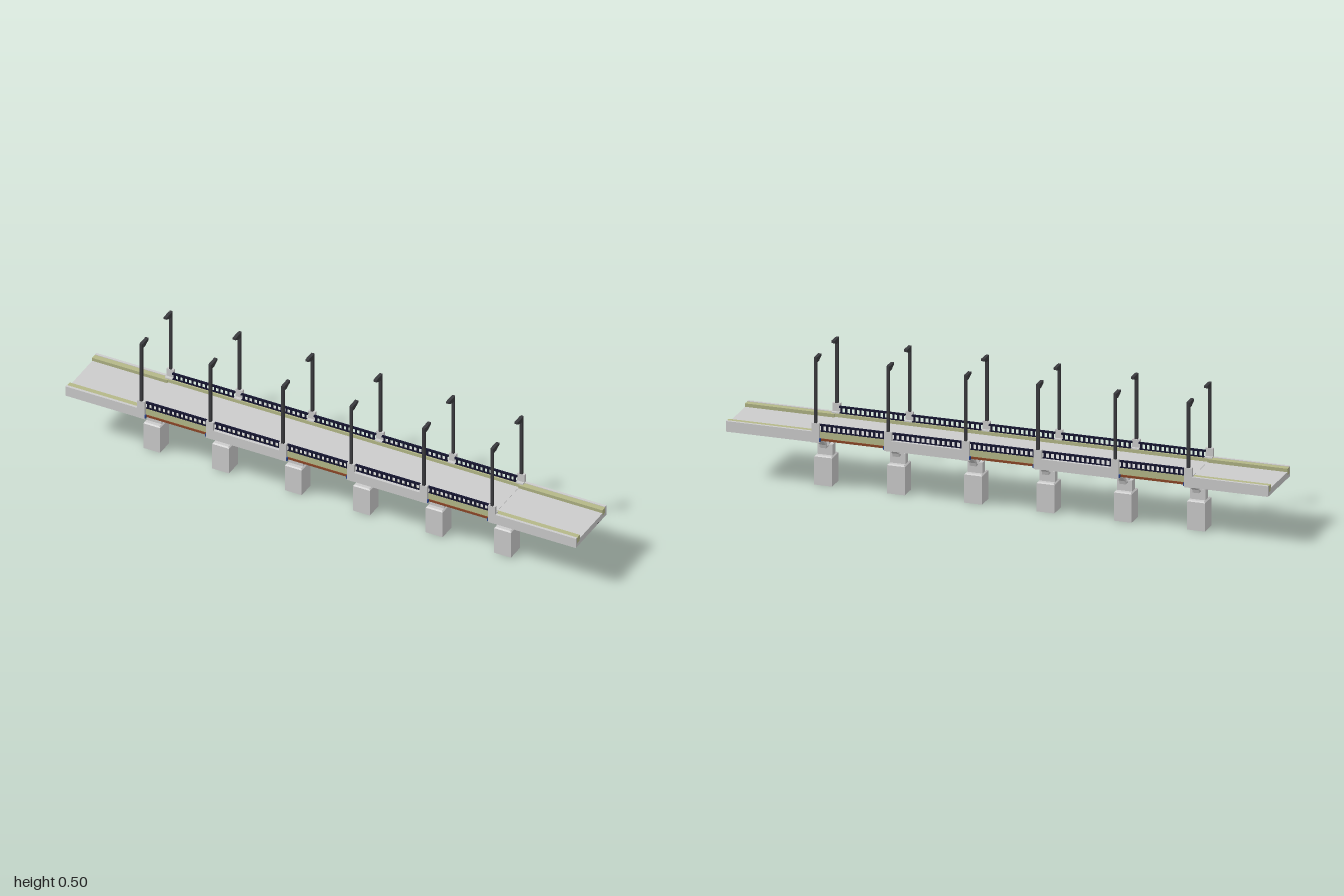
import * as THREE from 'three';

const mat = (color) => new THREE.MeshStandardMaterial({ color, flatShading: true });
const grey = mat(0xcccccc), dark = mat(0x3a3a3e), green = mat(0xb4b888);
const rust = mat(0x8a4526), navy = mat(0x14142e), blue = mat(0x2a4590);

// Box given by its limits on each axis
function box(parent, name, [x0, x1], [y0, y1], [z0, z1], material = grey) {
  const mesh = new THREE.Mesh(new THREE.BoxGeometry(x1 - x0, y1 - y0, Math.abs(z1 - z0)), material);
  mesh.position.set((x0 + x1) / 2, (y0 + y1) / 2, (z0 + z1) / 2);
  mesh.name = name;
  parent.add(mesh);
  return mesh;
}

// Plate from a (z, y) outline, extruded along x about xc; side flips z
function plate(parent, name, outline, xc, width, side, material = grey) {
  const shape = new THREE.Shape(outline.map(([z, y]) => new THREE.Vector2(-z * side, y)));
  const geo = new THREE.ExtrudeGeometry(shape, { depth: width, bevelEnabled: false });
  geo.rotateY(Math.PI / 2);
  geo.translate(xc - width / 2, 0, 0);
  const mesh = new THREE.Mesh(geo, material);
  mesh.name = name;
  parent.add(mesh);
}

const PIERS = [-0.705, -0.435, -0.15, 0.117, 0.402, 0.67];
const around = (x, half) => [x - half, x + half];

function addPier(root, x) {
  const pier = new THREE.Group();
  pier.name = 'pier';
  root.add(pier);
  box(pier, 'pierFooting', around(x, 0.033), [0, 0.104], [-0.033, 0.033]);
  // Sloping cap on the footing
  const cap = new THREE.CylinderGeometry(0.028 * Math.SQRT2, 0.033 * Math.SQRT2, 0.004, 4).rotateY(Math.PI / 4);
  const capMesh = new THREE.Mesh(cap, grey);
  capMesh.name = 'footingCap';
  capMesh.position.set(x, 0.106, 0);
  pier.add(capMesh);
  box(pier, 'pierColumn', around(x, 0.028), [0.105, 0.148], [-0.014, 0.014]);
  box(pier, 'pierNeck', around(x, 0.015), [0.148, 0.19], [-0.014, 0.014]);
  box(pier, 'crossBeam', around(x, 0.015), [0.185, 0.2], [-0.113, 0.113]);
  for (const s of [1, -1]) {
    // Curved diagonal brace with its foot against the column
    plate(pier, 'brace', [[0.012, 0.139], [0.034, 0.139], [0.038, 0.152], [0.085, 0.188],
      [0.066, 0.188], [0.03, 0.158], [0.026, 0.147], [0.012, 0.144]], x, 0.024, s);
  }
}

function addLamp(root, x, s) {
  const lamp = new THREE.Group();
  lamp.name = 'lamp';
  root.add(lamp);
  box(lamp, 'lampPedestal', around(x, 0.014), [0.187, 0.258], [s * 0.104, s * 0.115]);
  box(lamp, 'pedestalCurb', around(x, 0.014), [0.2, 0.228], [s * 0.092, s * 0.105]);
  box(lamp, 'pedestalClamp', around(x, 0.018), [0.19, 0.202], [s * 0.106, s * 0.1145], blue);
  box(lamp, 'lampPole', around(x, 0.005), [0.225, 0.5], [s * 0.105, s * 0.1148], dark);
  plate(lamp, 'lampHead', [[0.108, 0.5], [0.068, 0.5], [0.068, 0.492], [0.093, 0.481], [0.108, 0.481]],
    x, 0.012, s, dark);
}

function addRailing(root, x0, x1, s) {
  const rail = new THREE.Group();
  rail.name = 'railing';
  root.add(rail);
  box(rail, 'topRail', [x0, x1], [0.245, 0.251], [s * 0.095, s * 0.103], navy);
  box(rail, 'bottomRail', [x0, x1], [0.223, 0.227], [s * 0.096, s * 0.102], navy);
  const n = 14;
  for (let i = 0; i < n; i++) {
    const x = x0 + (x1 - x0) * (i + 0.5) / n;
    box(rail, 'baluster', around(x, 0.0035), [0.225, 0.247], [s * 0.097, s * 0.101], navy);
  }
}

function addSpan(root, i) {
  const span = new THREE.Group();
  span.name = 'span';
  root.add(span);
  const x0 = PIERS[i], x1 = PIERS[i + 1], X = [x0, x1];
  const walled = i % 2 === 1;
  // Longitudinal girders under the deck
  for (let k = -4; k <= 4; k++) {
    box(span, 'stringer', X, [0.188, 0.2], around(k * 0.021, 0.005));
  }
  for (const s of [1, -1]) {
    box(span, 'curb', X, [0.2, 0.224], [s * 0.09, s * 0.103], green);
    if (walled) {
      box(span, 'sideWall', X, [0.187, 0.225], [s * 0.103, s * 0.115]);
    } else {
      box(span, 'edgeGirder', X, [0.192, 0.2], [s * 0.096, s * 0.106], rust);
    }
    addRailing(span, x0 + 0.012, x1 - 0.012, s);
  }
}

function addApproach(root, x0, x1) {
  const approach = new THREE.Group();
  approach.name = 'approach';
  root.add(approach);
  const X = [x0, x1];
  box(approach, 'approachSlab', X, [0.187, 0.201], [-0.115, 0.115]);
  box(approach, 'approachRoad', X, [0.2, 0.211], [-0.09, 0.09]);
  for (const s of [1, -1]) {
    // Stepped curb inside the parapet
    plate(approach, 'approachCurb', [[0.106, 0.2], [0.086, 0.2], [0.084, 0.224], [0.106, 0.224]],
      (x0 + x1) / 2, x1 - x0, s, green);
    box(approach, 'parapet', X, [0.187, 0.226], [s * 0.105, s * 0.115]);
  }
}

export function createModel() {
  const root = new THREE.Group();
  root.name = 'bridge';
  const first = PIERS[0], last = PIERS[PIERS.length - 1];

  addApproach(root, -1, first);
  addApproach(root, last, 1);
  // Small cover panel on the end face
  box(root, 'endPanel', [0.998, 1], [0.19, 0.197], [-0.057, -0.018], dark);

  // Roadway over the piers
  box(root, 'road', [first, last], [0.199, 0.212], [-0.092, 0.092]);

  for (const x of PIERS) {
    addPier(root, x);
    for (const s of [1, -1]) addLamp(root, x, s);
  }
  for (let i = 0; i < PIERS.length - 1; i++) addSpan(root, i);
  return root;
}
